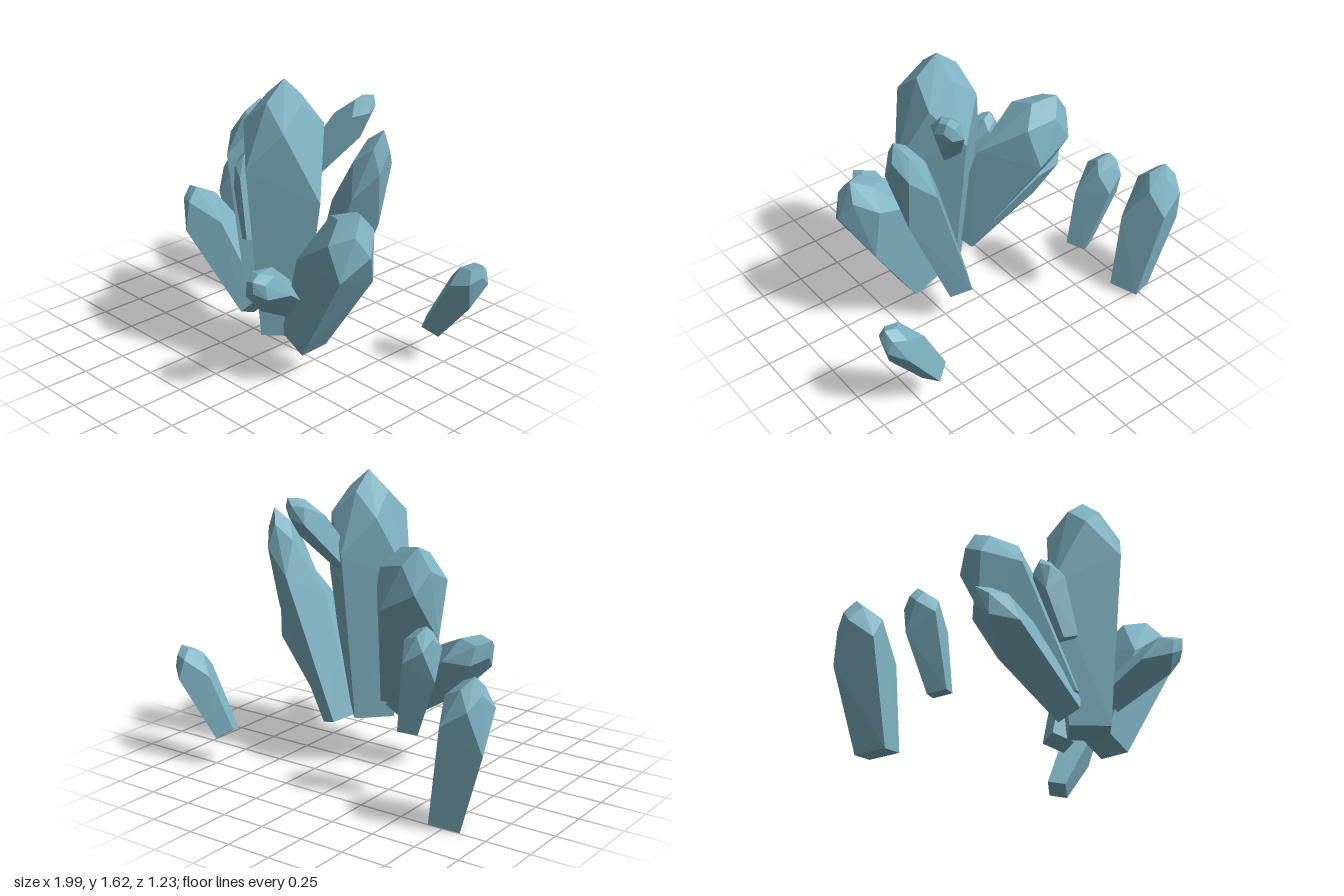
import * as THREE from 'three';
import { ConvexGeometry } from 'three/addons/geometries/ConvexGeometry.js';

const UP = new THREE.Vector3(0, 1, 0);

// Four-sided shard: narrow base, staggered shoulders, faceted crown, point.
// a and b are the half-widths across its two diagonals, twist is in degrees.
function shardGeometry(base, tip, a, b, twist, taper) {
  const start = new THREE.Vector3(...base);
  const axis = new THREE.Vector3(...tip).sub(start);
  const length = axis.length();
  const turn = new THREE.Quaternion().setFromUnitVectors(UP, axis.normalize());
  const points = [];
  const add = (t, r, angle) => {
    const p = new THREE.Vector3(a * r * Math.cos(angle), length * t, b * r * Math.sin(angle));
    points.push(p.applyAxisAngle(UP, THREE.MathUtils.degToRad(twist)).applyQuaternion(turn).add(start));
  };
  for (let i = 0; i < 4; i++) {
    const corner = i * Math.PI / 2;
    add(0, taper, corner);                        // base
    add(i % 2 ? 0.69 : 0.57, 1, corner);          // shoulder
    add(0.835, 0.77, corner + Math.PI / 4);       // crown edge
    add(0.925, 0.46, corner);                     // crown top
  }
  add(1, 0, 0);
  return new ConvexGeometry(points);
}

export function createModel() {
  const model = new THREE.Group();
  model.name = 'crystalCluster';
  const crystal = new THREE.MeshStandardMaterial({ color: 0x7fb3c3, flatShading: true });
  crystal.name = 'paleBlueCrystal';

  // name, base, tip, half-widths, twist, base taper
  const shards = [
    ['centralCrystal', [0.17, 0.24, 0.17], [0.165, 1.63, 0.15], 0.275, 0.26, 0, 0.58],
    ['leftLeaningCrystal', [0.32, 0.22, 0.15], [0.72, 1.06, 0.155], 0.205, 0.215, 45, 0.6],
    ['frontSmallCrystal', [0.28, 0.43, 0.18], [0.43, 0.74, 0.61], 0.115, 0.115, 20, 0.75],
    ['backLeftCrystal', [0.21, 0.26, -0.08], [0.615, 1.41, -0.11], 0.14, 0.14, 20, 0.65],
    ['upperBackShard', [0.21, 1.14, -0.01], [0.40, 1.51, -0.26], 0.092, 0.092, 30, 0.7],
    ['backRightCrystal', [0.00, 0.38, 0.16], [-0.37, 1.33, -0.17], 0.25, 0.21, -13, 0.48],
    ['middleSmallCrystal', [-0.03, 0.70, 0.20], [-0.155, 1.16, 0.12], 0.095, 0.095, 20, 0.65],
    ['rightLeaningCrystal', [-0.01, 0.31, 0.19], [-0.65, 0.81, 0.12], 0.15, 0.15, -20, 0.65],
    ['looseMiddleShard', [-0.43, 0.42, -0.34], [-0.57, 1.00, -0.39], 0.13, 0.12, -15, 0.6],
    ['looseRightShard', [-0.74, 0.03, -0.45], [-0.91, 0.83, -0.48], 0.17, 0.16, -22, 0.7],
    ['looseLeftShard', [0.67, 0.20, -0.49], [0.97, 0.66, -0.51], 0.11, 0.115, -15, 0.68],
  ];
  for (const [name, ...shape] of shards) {
    const mesh = new THREE.Mesh(shardGeometry(...shape), crystal);
    mesh.name = name;
    model.add(mesh);
  }
  return model;
}
